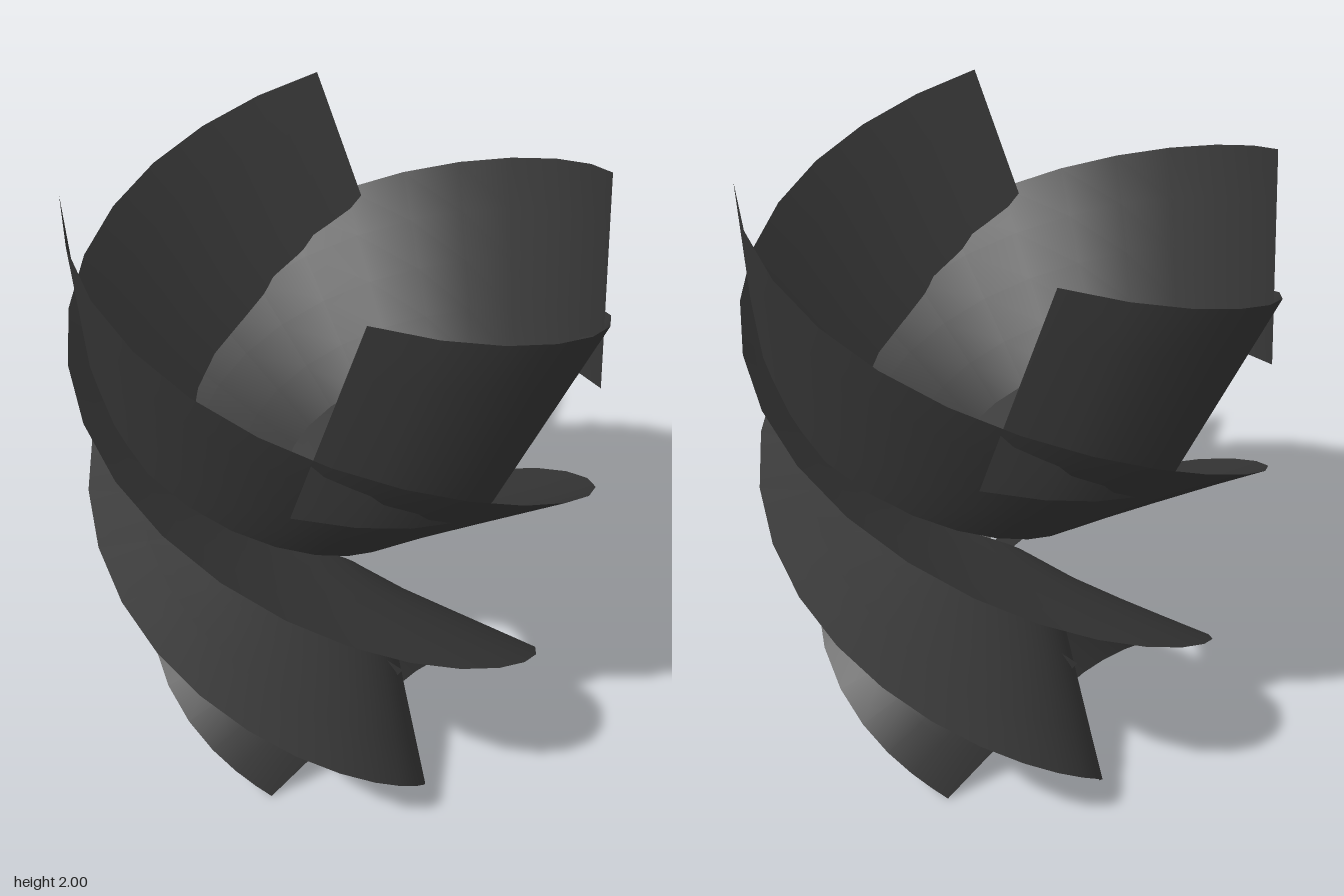
import * as THREE from 'three';

const WIDTH = 0.595, SEGMENTS = 26, ACROSS = 4;
const UP = new THREE.Vector3(0, 1, 0);

// Keys at each quarter turn, from top to bottom: radius, height, twist in degrees
const keys = new THREE.CatmullRomCurve3([
  [0.73, 1.72, 0],
  [0.593, 1.34, 32],
  [0.45, 0.965, 77],
  [0.325, 0.565, 118],
  [0.2, 0.205, 180],
].map((k) => new THREE.Vector3(...k)), false, 'catmullrom');

// Centre line: one full turn, sinking and tightening
function centre(s) {
  const k = keys.getPoint(s), a = -s * Math.PI * 2;
  return new THREE.Vector3(k.x * Math.cos(a), k.y, k.x * Math.sin(a));
}

// A flat strip that twists half a turn around the centre line
function bladeGeometry() {
  const geo = new THREE.PlaneGeometry(1, 1, SEGMENTS, ACROSS);
  const pos = geo.attributes.position;
  for (let i = 0; i < pos.count; i++) {
    const s = THREE.MathUtils.clamp(pos.getX(i) + 0.5, 0, 1);
    const w = pos.getY(i) * WIDTH;
    const a = -s * Math.PI * 2;
    const t = centre(Math.min(s + 0.005, 1)).sub(centre(Math.max(s - 0.005, 0))).normalize();
    // Outward direction is radial at the top and square to the path at the bottom
    const outward = new THREE.Vector3(Math.cos(a), 0, Math.sin(a))
      .lerp(t.clone().cross(UP).normalize(), s).normalize();
    const upward = outward.clone().cross(t).normalize();
    const twist = THREE.MathUtils.degToRad(keys.getPoint(s).z);
    const p = centre(s)
      .addScaledVector(upward, w * Math.cos(twist))
      .addScaledVector(outward, w * Math.sin(twist));
    pos.setXYZ(i, p.x, p.y, p.z);
  }
  geo.computeVertexNormals();
  return geo;
}

export function createModel() {
  const model = new THREE.Group();
  model.name = 'twistedBlades';
  const material = new THREE.MeshStandardMaterial({ color: 0x383838, side: THREE.DoubleSide });
  const geo = bladeGeometry();
  // Four equal blades around the axis
  for (let i = 0; i < 4; i++) {
    const blade = new THREE.Mesh(geo, material);
    blade.name = `spiralBlade${i + 1}`;
    blade.rotation.y = i * Math.PI / 2;
    model.add(blade);
  }
  return model;
}
